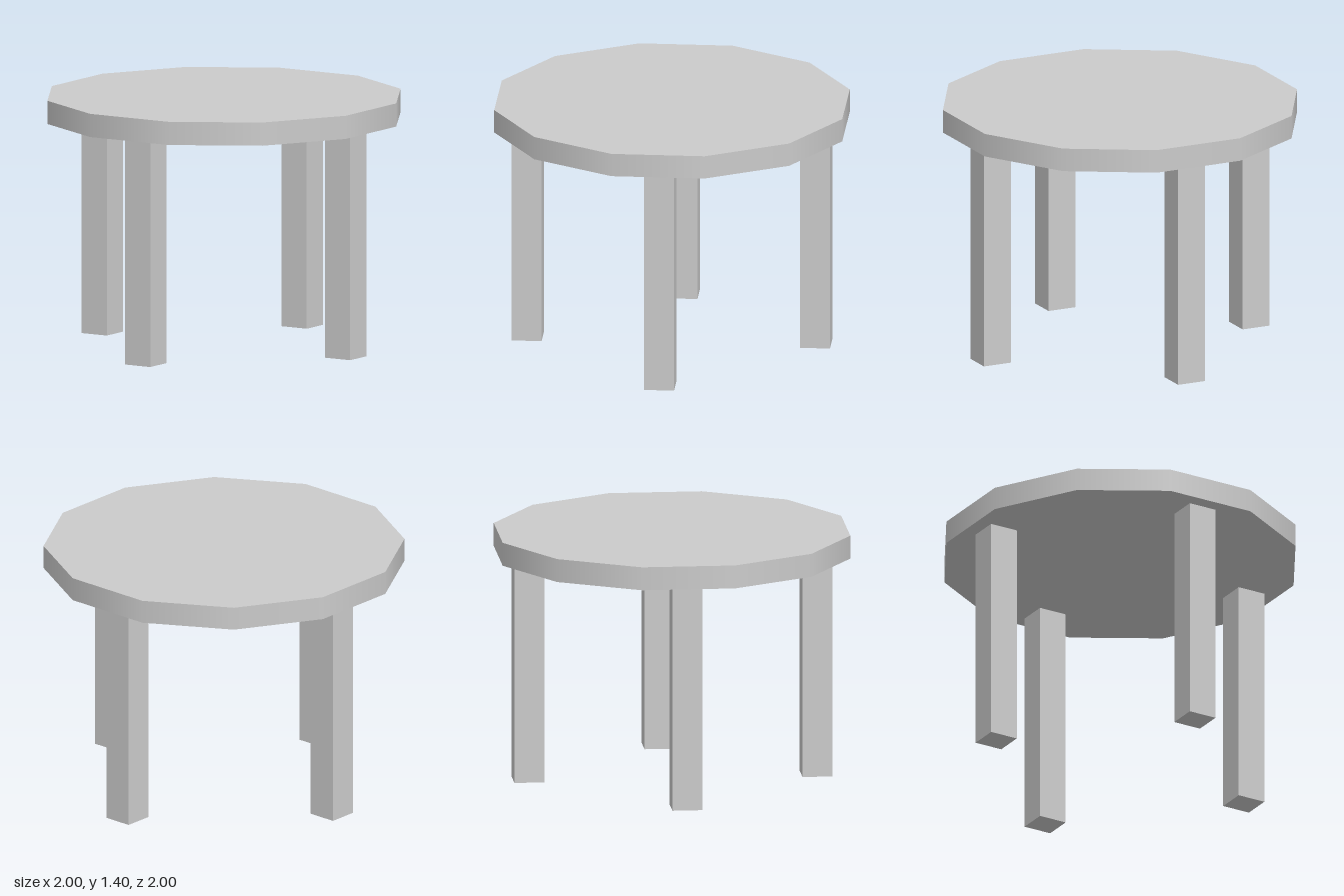
import * as THREE from 'three';

export function createModel() {
  const table = new THREE.Group();
  table.name = 'roundTable';
  const material = new THREE.MeshStandardMaterial({ color: 0xcccccc });

  const height = 1.4, topThickness = 0.13;
  const legHeight = height - topThickness;

  // Twelve-sided top with a smooth-shaded rim
  const top = new THREE.Mesh(new THREE.CylinderGeometry(1, 1, topThickness, 12), material);
  top.name = 'tableTop';
  top.position.y = height - topThickness / 2;
  table.add(top);

  // Four square legs on the diagonals, each turned to face the centre
  const legGeometry = new THREE.BoxGeometry(0.166, legHeight, 0.166);
  const offset = 0.566;
  for (const [z, depth] of [[1, 'front'], [-1, 'back']]) {
    for (const [x, side] of [[1, 'Left'], [-1, 'Right']]) {
      const leg = new THREE.Mesh(legGeometry, material);
      leg.name = `${depth}${side}Leg`;
      leg.position.set(x * offset, legHeight / 2, z * offset);
      leg.rotation.y = Math.PI / 4;
      table.add(leg);
    }
  }
  return table;
}
